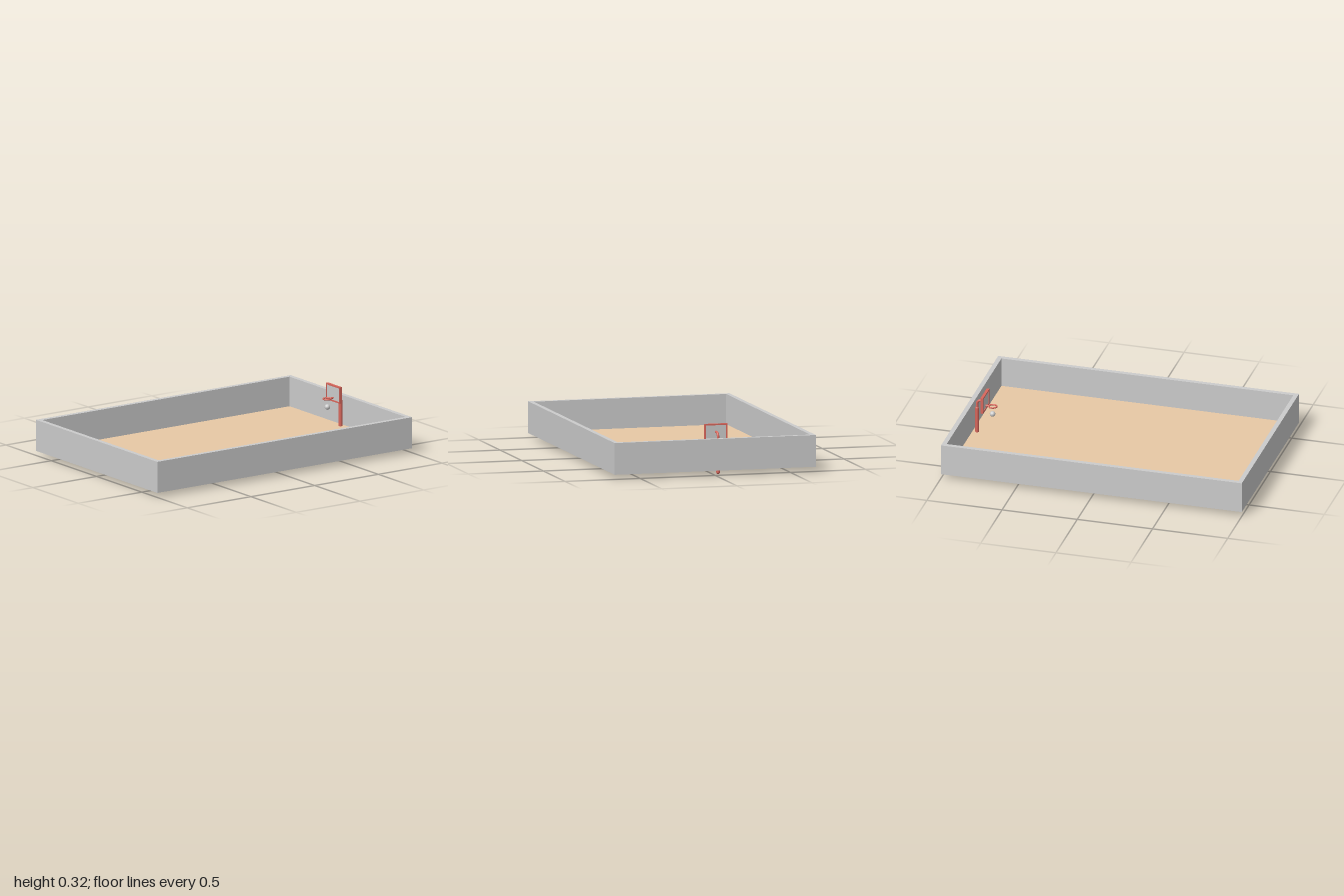
import * as THREE from 'three';

const grey = new THREE.MeshStandardMaterial({ color: 0xcccccc });
const tan = new THREE.MeshStandardMaterial({ color: 0xe8c9a5 });
const red = new THREE.MeshStandardMaterial({ color: 0xd9675c });

function add(parent, name, geometry, material, x = 0, y = 0, z = 0) {
  const mesh = new THREE.Mesh(geometry, material);
  mesh.name = name;
  mesh.position.set(x, y, z);
  parent.add(mesh);
  return mesh;
}

// Rectangular outline with a rectangular hole, extruded by depth
function frameGeometry(w, h, border, depth) {
  const rect = (path, a, b) =>
    path.moveTo(-a, -b).lineTo(a, -b).lineTo(a, b).lineTo(-a, b).closePath();
  const shape = rect(new THREE.Shape(), w / 2, h / 2);
  shape.holes.push(rect(new THREE.Path(), w / 2 - border, h / 2 - border));
  return new THREE.ExtrudeGeometry(shape, { depth, bevelEnabled: false });
}

export function createModel() {
  const model = new THREE.Group();
  model.name = 'miniatureBasketballCourt';

  // Surrounding walls and court floor
  const walls = frameGeometry(2, 1.34, 0.03, 0.205).rotateX(-Math.PI / 2);
  add(model, 'walls', walls, grey, 0, 0.03, 0);
  add(model, 'courtFloor', new THREE.BoxGeometry(1.94, 0.006, 1.28), tan, 0, 0.037, 0);

  // Everything of the hoop is centred on its own z = 0
  const hoop = new THREE.Group();
  hoop.name = 'hoop';
  hoop.position.z = -0.036;
  model.add(hoop);

  // Post with rounded ends, reaching through the floor
  add(hoop, 'post', new THREE.CapsuleGeometry(0.012, 0.196, 6, 20), red, 0.94, 0.11, 0);

  // Curved arm from the post to the backboard
  const arm = new THREE.CurvePath();
  const v = (x, y) => new THREE.Vector3(x, y, 0);
  arm.add(new THREE.LineCurve3(v(0.94, 0.2), v(0.94, 0.235)));
  arm.add(new THREE.QuadraticBezierCurve3(v(0.94, 0.235), v(0.94, 0.266), v(0.91, 0.266)));
  arm.add(new THREE.LineCurve3(v(0.91, 0.266), v(0.888, 0.266)));
  add(hoop, 'arm', new THREE.TubeGeometry(arm, 32, 0.008, 14), red);

  // Backboard panel and its frame
  add(hoop, 'backboard', new THREE.BoxGeometry(0.01, 0.1, 0.146), grey, 0.888, 0.264, 0);
  const border = frameGeometry(0.152, 0.108, 0.009, 0.018).rotateY(Math.PI / 2);
  add(hoop, 'backboardFrame', border, red, 0.879, 0.264, 0);

  // Ring with its bracket
  const ring = new THREE.TorusGeometry(0.025, 0.005, 12, 36).rotateX(Math.PI / 2);
  add(hoop, 'ring', ring, red, 0.835, 0.234, 0);
  const bracket = new THREE.CylinderGeometry(0.006, 0.006, 0.03, 12).rotateZ(Math.PI / 2);
  add(hoop, 'ringBracket', bracket, red, 0.873, 0.234, 0);

  // Ball below the ring
  add(hoop, 'ball', new THREE.SphereGeometry(0.018, 24, 16), grey, 0.837, 0.18, 0);

  return model;
}
